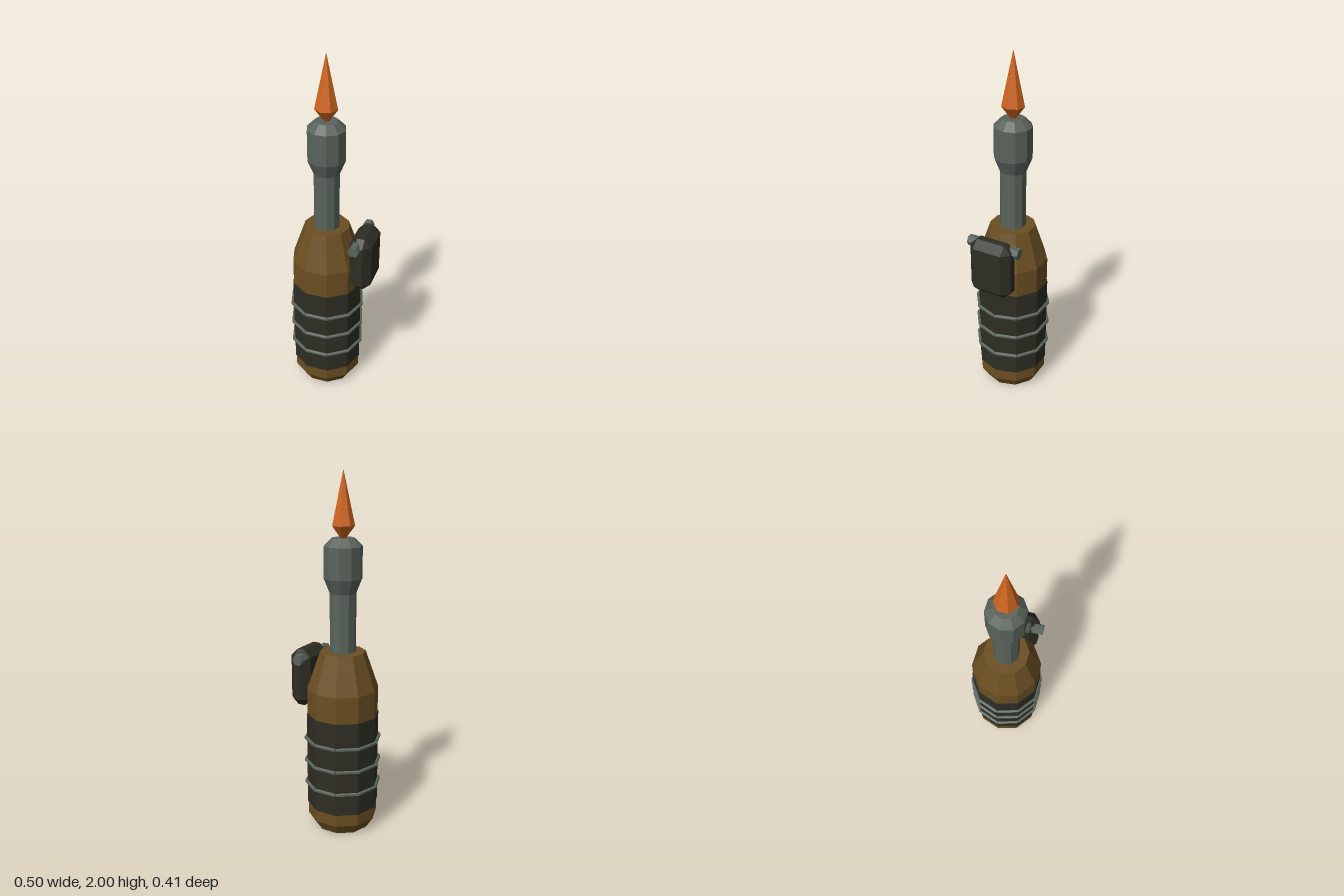
import * as THREE from 'three';
import { ConvexGeometry } from 'three/addons/geometries/ConvexGeometry.js';

const mat = (name, color) => Object.assign(new THREE.MeshStandardMaterial({ color }), { name });

// Faceted normals
function facet(geometry) {
  const g = geometry.index ? geometry.toNonIndexed() : geometry;
  g.computeVertexNormals();
  return g;
}

// Faceted solid of revolution with a corner on the x axis
function turned(name, profile, sides, material) {
  const points = profile.map(([r, y]) => new THREE.Vector2(r, y));
  const mesh = new THREE.Mesh(facet(new THREE.LatheGeometry(points, sides, Math.PI / 2)), material);
  mesh.name = name;
  return mesh;
}

// Box with every edge chamfered by b
function chamferedBox(hx, hy, hz, b) {
  const points = [];
  for (const sx of [-1, 1]) for (const sy of [-1, 1]) for (const sz of [-1, 1]) {
    points.push(
      new THREE.Vector3(sx * hx, sy * (hy - b), sz * (hz - b)),
      new THREE.Vector3(sx * (hx - b), sy * hy, sz * (hz - b)),
      new THREE.Vector3(sx * (hx - b), sy * (hy - b), sz * hz));
  }
  return new ConvexGeometry(points);
}

export function createModel() {
  const brown = mat('brown casing', 0x6b4f22);
  const dark = mat('dark grip', 0x2e2e25);
  const metal = mat('grey metal', 0x5a645c);
  const orange = mat('orange flame', 0xd0661f);

  const model = new THREE.Group();
  model.name = 'torch';

  // Everything round shares one axis
  const barrel = new THREE.Group();
  barrel.name = 'barrel';
  barrel.position.x = -0.034;
  model.add(barrel);

  barrel.add(
    turned('casing', [[0, 0], [0.157, 0], [0.198, 0.065], [0.198, 0.83], [0.126, 1.037], [0, 1.037]], 10, brown),
    turned('gripSleeve', [[0.19, 0.135], [0.202, 0.135], [0.202, 0.68], [0.19, 0.68]], 10, dark),
    turned('nozzle', [[0, 1], [0.072, 1], [0.072, 1.36], [0.104, 1.44], [0.104, 1.61], [0.062, 1.652], [0, 1.652]], 10, metal),
    turned('flame', [[0, 1.63], [0.062, 1.715], [0, 2]], 7, orange));

  // Three bands of short rods around the grip
  const rod = facet(new THREE.CylinderGeometry(0.01, 0.01, 0.127, 6));
  rod.rotateX(Math.PI / 2);
  for (const y of [0.265, 0.4, 0.535]) {
    const band = new THREE.Group();
    band.name = 'gripBand';
    band.position.y = y;
    for (let i = 0; i < 10; i++) {
      const a = (i + 0.5) * Math.PI / 5;
      const mesh = new THREE.Mesh(rod, metal);
      mesh.name = 'bandRod';
      mesh.position.set(Math.cos(a) * 0.198, 0, -Math.sin(a) * 0.198);
      mesh.rotation.y = a;
      band.add(mesh);
    }
    barrel.add(band);
  }

  // Side trigger lever and its hinge pin
  const lever = new THREE.Mesh(chamferedBox(0.0625, 0.163, 0.125, 0.042), dark);
  lever.name = 'triggerLever';
  lever.position.set(0.186, 0.873, 0);
  const pinGeometry = new THREE.CylinderGeometry(0.031, 0.031, 0.31, 6, 1, false, Math.PI / 2);
  pinGeometry.rotateX(Math.PI / 2);
  const pin = new THREE.Mesh(facet(pinGeometry), metal);
  pin.name = 'hingePin';
  pin.position.set(0.165, 0.99, 0);
  model.add(lever, pin);

  return model;
}
